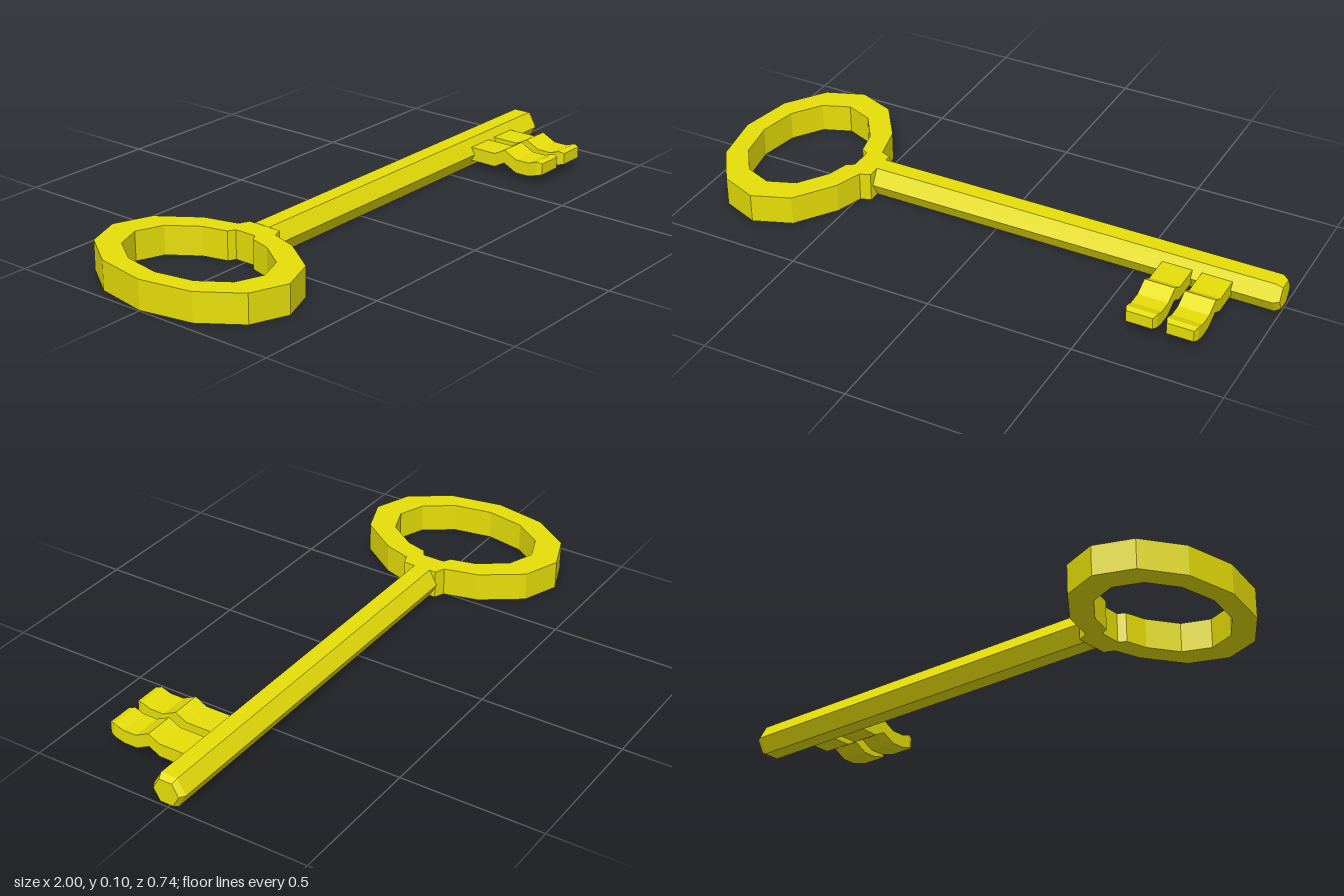
import * as THREE from 'three';

const material = new THREE.MeshStandardMaterial({ color: 0xe6de08, flatShading: true });

function addPart(group, name, geometry) {
  const mesh = new THREE.Mesh(geometry, material);
  mesh.name = name;
  group.add(mesh);
  return mesh;
}

// Polygon outline given as [x, z], counter-clockwise once z is flipped
const outline = (pts) => pts.map(([x, z]) => new THREE.Vector2(x, -z)).reverse();

// Points of a 12-sided oval, leaving a gap on its +x side
function ovalArc(rx, rz) {
  const pts = [];
  for (let i = 1; i <= 11; i++) {
    const a = (i * Math.PI) / 6;
    pts.push([-0.743 + rx * Math.cos(a), rz * Math.sin(a)]);
  }
  return pts;
}

// Oval handle with the flared collar that meets the shaft
function bowGeometry() {
  const shape = new THREE.Shape(outline([
    [-0.455, 0.077], [-0.49, 0.09], ...ovalArc(0.257, 0.369), [-0.49, -0.064], [-0.455, -0.049],
  ]));
  shape.holes.push(new THREE.Path(outline([
    [-0.535, 0.045], [-0.56, 0.06], ...ovalArc(0.187, 0.27), [-0.56, -0.048], [-0.535, -0.035],
  ])));
  const geo = new THREE.ExtrudeGeometry(shape, { depth: 0.101, bevelEnabled: false });
  return geo.rotateX(-Math.PI / 2).translate(0, 0.003, 0);
}

// Hexagonal rod with a chamfered tip, along x
function shaftGeometry() {
  const profile = [[0, -0.455], [0.06, -0.455], [0.06, 0.98], [0.047, 1], [0, 1]];
  const geo = new THREE.LatheGeometry(profile.map(([r, x]) => new THREE.Vector2(r, x)), 6);
  return geo.rotateZ(-Math.PI / 2).translate(0, 0.053, 0.004);
}

// Wavy tooth lofted along z from rectangles: [z, low y, high y, half width]
function toothGeometry() {
  const sections = [
    [0.03, 0.03, 0.078, 0.052], [0.15, 0.03, 0.078, 0.052], [0.19, 0.052, 0.1, 0.052],
    [0.24, 0.027, 0.075, 0.052], [0.29, 0.027, 0.075, 0.052], [0.325, 0.037, 0.087, 0.052],
    [0.344, 0.042, 0.082, 0.045],
  ];
  const pos = [];
  const index = [];
  sections.forEach(([z, lo, hi, w], i) => {
    pos.push(-w, lo, z, w, lo, z, w, hi, z, -w, hi, z);
    if (i === 0) return;
    for (let k = 0; k < 4; k++) {
      const a = (i - 1) * 4 + k;
      const b = (i - 1) * 4 + ((k + 1) % 4);
      index.push(a, b, b + 4, a, b + 4, a + 4);
    }
  });
  const e = (sections.length - 1) * 4;
  index.push(0, 2, 1, 0, 3, 2, e, e + 1, e + 2, e, e + 2, e + 3);
  const geo = new THREE.BufferGeometry();
  geo.setAttribute('position', new THREE.Float32BufferAttribute(pos, 3));
  geo.setIndex(index);
  const flat = geo.toNonIndexed();
  flat.computeVertexNormals();
  return flat;
}

export function createModel() {
  const key = new THREE.Group();
  key.name = 'key';

  addPart(key, 'bow', bowGeometry());
  addPart(key, 'shaft', shaftGeometry());

  // Pair of matching teeth near the tip
  const tooth = toothGeometry();
  addPart(key, 'innerTooth', tooth).position.x = 0.654;
  addPart(key, 'outerTooth', tooth).position.x = 0.79;

  return key;
}
